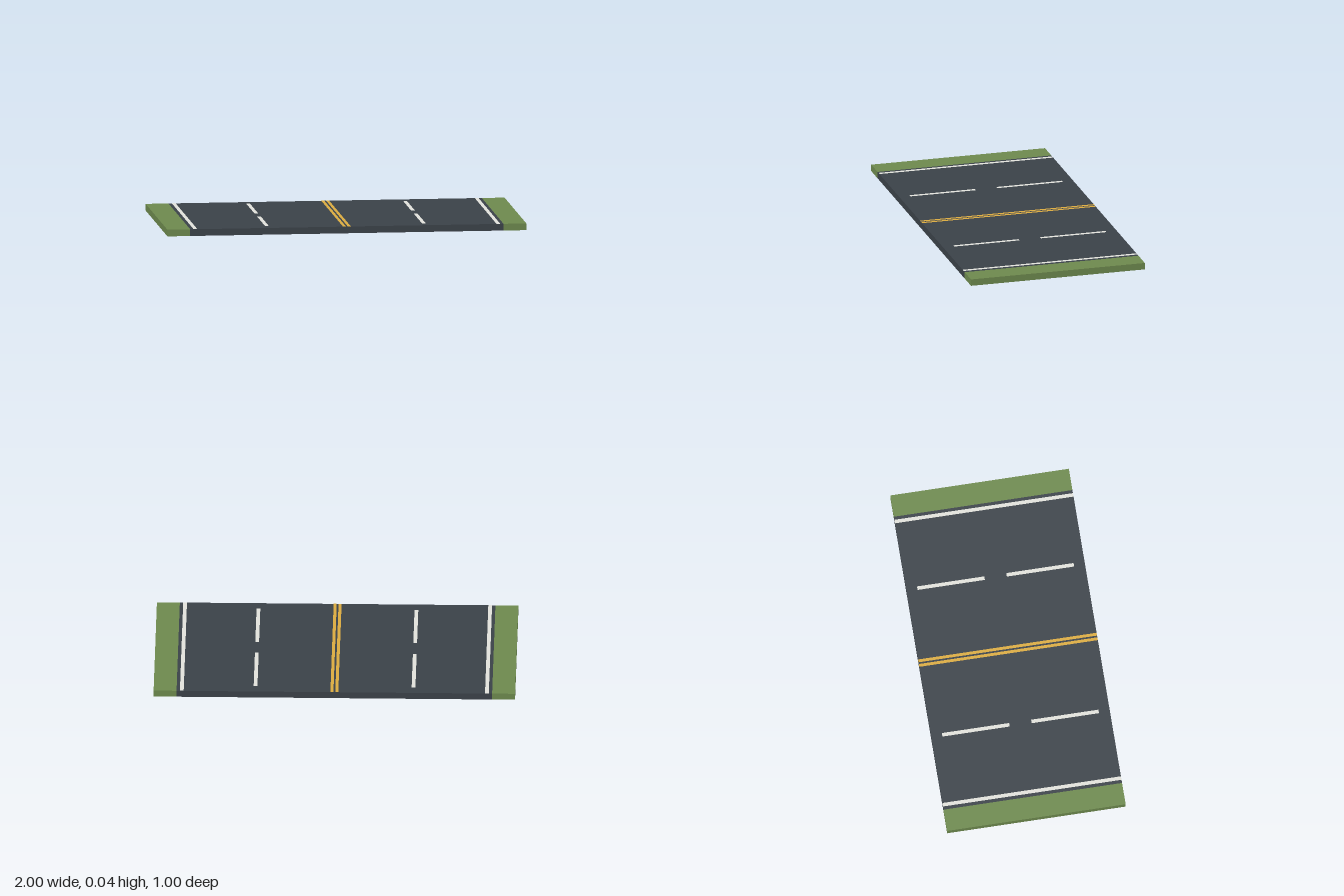
import * as THREE from 'three';

const HEIGHT = 0.0375;      // height of the top surface
const LENGTH = 1;           // along z
const ROAD_HALF = 0.873;    // half width of the asphalt
const PAINT_LIFT = 0.0008;  // paint sits just above the surface

export function createModel() {
  const group = new THREE.Group();
  group.name = 'roadSection';

  const material = (name, color, side = THREE.FrontSide) => {
    const m = new THREE.MeshStandardMaterial({ color, side });
    m.name = name;
    return m;
  };
  // The slab is a thin shell, open underneath
  const asphalt = material('asphalt', 0x3b4249, THREE.DoubleSide);
  const grass = material('grass', 0x6e8a4e, THREE.DoubleSide);
  const white = material('whitePaint', 0xe2e2dc);
  const yellow = material('yellowPaint', 0xdcac40);

  const add = (name, geometry, mat, x, y, z) => {
    const mesh = new THREE.Mesh(geometry, mat);
    mesh.name = name;
    mesh.position.set(x, y, z);
    group.add(mesh);
  };

  // Horizontal panel facing up
  const panel = (name, mat, w, d, x, y, z = 0) =>
    add(name, new THREE.PlaneGeometry(w, d).rotateX(-Math.PI / 2), mat, x, y, z);

  // Upright edge wall, turned to face outwards
  const wall = (name, mat, w, turn, x, z) =>
    add(name, new THREE.PlaneGeometry(w, HEIGHT).rotateY(turn), mat, x, HEIGHT / 2, z);

  // Top surface with its front and back walls
  const strip = (name, mat, w, x) => {
    panel(`${name}Top`, mat, w, LENGTH, x, HEIGHT);
    wall(`${name}FrontWall`, mat, w, 0, x, LENGTH / 2);
    wall(`${name}BackWall`, mat, w, Math.PI, x, -LENGTH / 2);
  };

  const stripe = (name, mat, w, d, x, z) => panel(name, mat, w, d, x, HEIGHT + PAINT_LIFT, z);

  strip('roadway', asphalt, ROAD_HALF * 2, 0);

  for (const [side, s] of [['left', 1], ['right', -1]]) {
    // Grass verge with its outer wall
    const verge = 1 - ROAD_HALF;
    strip(`${side}Verge`, grass, verge, s * (1 - verge / 2));
    wall(`${side}VergeOuterWall`, grass, LENGTH, s * Math.PI / 2, s, 0);

    // Solid edge line and one half of the double centre line
    stripe(`${side}EdgeLine`, white, 0.021, LENGTH, s * 0.844);
    stripe(`${side}CentreLine`, yellow, 0.017, LENGTH, s * 0.0135);

    // Lane dashes
    for (const [end, z] of [['Front', 0.25], ['Back', -0.25]]) {
      stripe(`${side}${end}LaneDash`, white, 0.021, 0.377, s * 0.437, z);
    }
  }

  return group;
}
